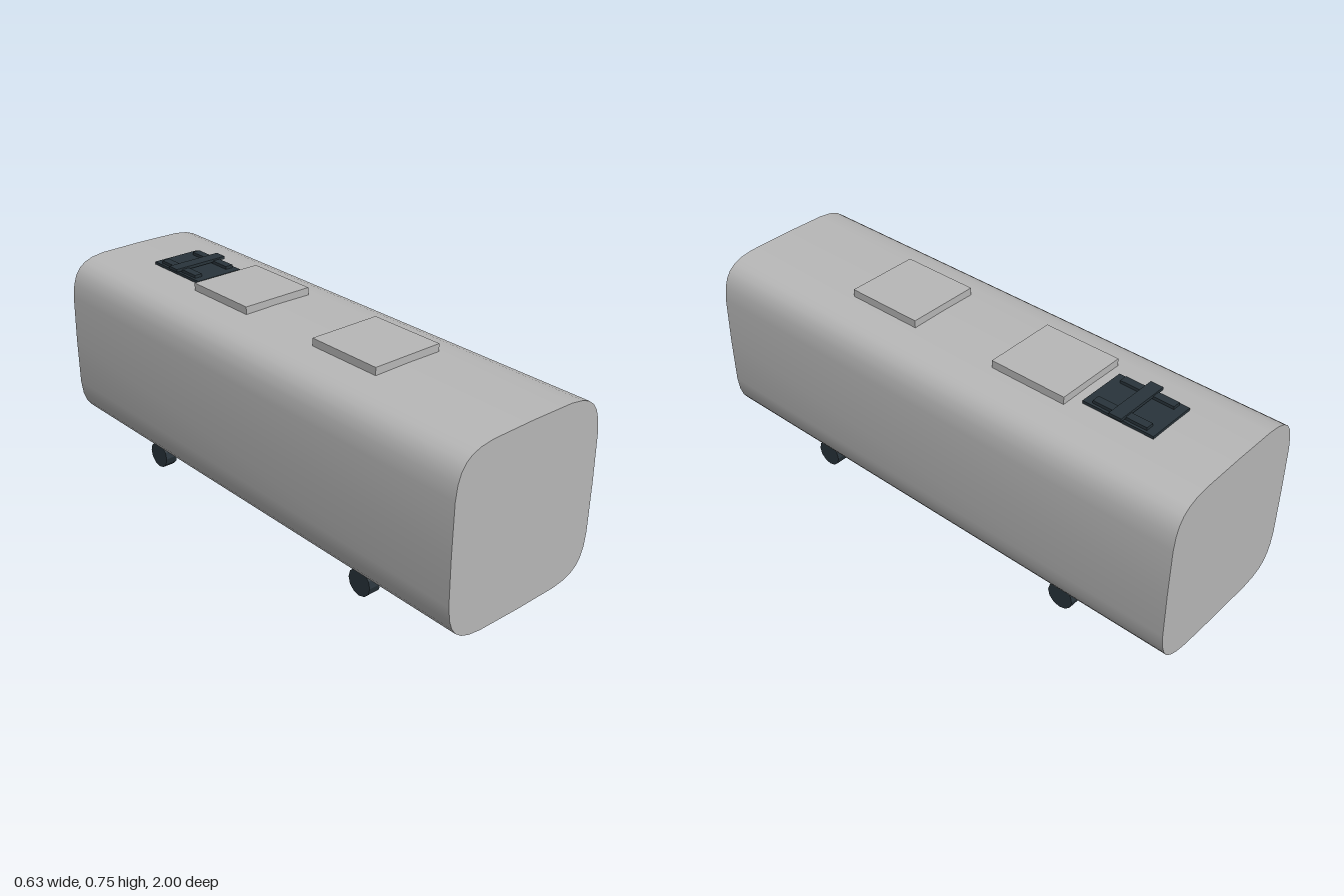
import * as THREE from 'three';
import { toCreasedNormals } from 'three/addons/utils/BufferGeometryUtils.js';

export function createModel() {
  const model = new THREE.Group();
  const shellGrey = new THREE.MeshStandardMaterial({ color: 0xb8b8b8 });
  shellGrey.name = 'shell grey';
  const darkSlate = new THREE.MeshStandardMaterial({ color: 0x29343b });
  darkSlate.name = 'dark slate';

  function add(name, geometry, material, x, y, z, parent = model) {
    const mesh = new THREE.Mesh(geometry, material);
    mesh.name = name;
    mesh.position.set(x, y, z);
    parent.add(mesh);
    return mesh;
  }

  // Body: a cylinder whose round section is reshaped to a superellipse
  const bodyGeometry = new THREE.CylinderGeometry(1, 1, 2, 32, 1).rotateX(Math.PI / 2);
  const squarish = (v) => Math.sign(v) * Math.pow(Math.abs(v), 0.377);
  const p = bodyGeometry.attributes.position;
  for (let i = 0; i < p.count; i++) {
    p.setXY(i, 0.317 * squarish(p.getX(i)), 0.329 * squarish(p.getY(i)));
  }
  add('body', toCreasedNormals(bodyGeometry, 0.7), shellGrey, 0, 0.395, 0);

  // Roof units
  const unitGeometry = new THREE.BoxGeometry(0.278, 0.04, 0.296);
  add('frontRoofUnit', unitGeometry, shellGrey, 0, 0.73, 0.34);
  add('rearRoofUnit', unitGeometry, shellGrey, 0, 0.73, -0.3);

  // Current collector: base plate, two rails and a contact bar
  const collector = new THREE.Group();
  collector.name = 'currentCollector';
  collector.position.set(0, 0, -0.622);
  model.add(collector);
  add('collectorBase', new THREE.BoxGeometry(0.19, 0.02, 0.27), darkSlate, 0, 0.723, 0, collector);
  for (const side of [-1, 1]) {
    add(side > 0 ? 'leftRail' : 'rightRail', new THREE.BoxGeometry(0.03, 0.014, 0.206),
      darkSlate, side * 0.07, 0.737, 0, collector);
  }
  add('contactBar', new THREE.BoxGeometry(0.218, 0.011, 0.048), darkSlate, 0, 0.7445, 0, collector);

  // Wheels
  const wheelGeometry = toCreasedNormals(
    new THREE.CylinderGeometry(0.05, 0.05, 0.047, 12).rotateZ(Math.PI / 2), 0.1);
  for (const x of [-0.234, 0.234]) {
    for (const z of [-0.56, 0.56]) {
      add((z > 0 ? 'front' : 'rear') + (x > 0 ? 'Left' : 'Right') + 'Wheel',
        wheelGeometry, darkSlate, x, 0.05, z);
    }
  }
  return model;
}
